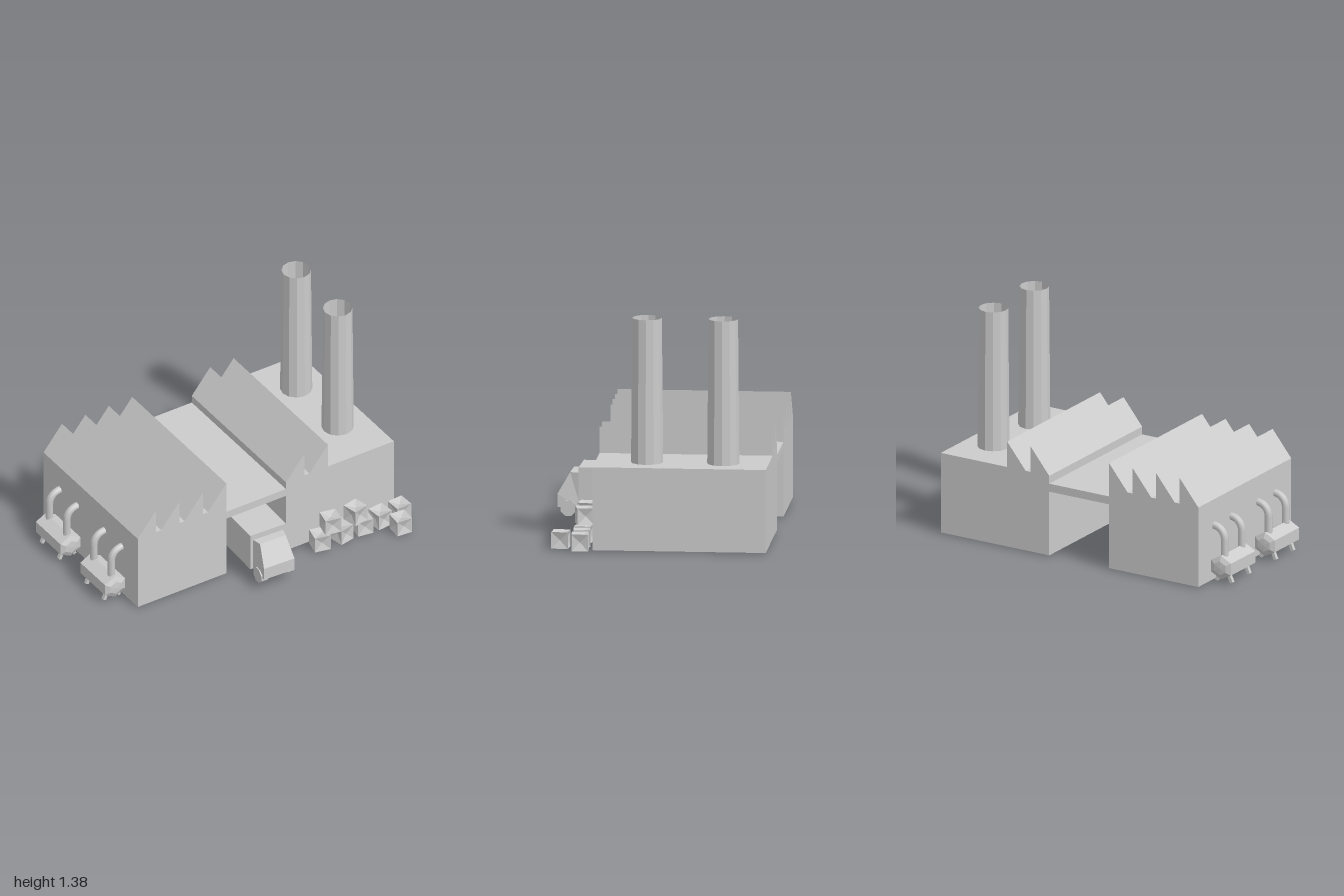
import * as THREE from 'three';
import { mergeGeometries } from 'three/addons/utils/BufferGeometryUtils.js';

const mat = new THREE.MeshStandardMaterial({ color: 0xcccccc, flatShading: true, side: THREE.DoubleSide });
const smooth = new THREE.MeshStandardMaterial({ color: 0xcccccc, side: THREE.DoubleSide });

const BACK = -0.66, FRONT = 0.37;

function add(parent, name, geometry, x = 0, y = 0, z = 0, material = mat) {
  const mesh = new THREE.Mesh(geometry, material);
  mesh.name = name;
  mesh.position.set(x, y, z);
  parent.add(mesh);
  return mesh;
}

function extrude(points, depth) {
  const shape = new THREE.Shape(points.map(([x, y]) => new THREE.Vector2(x, y)));
  return new THREE.ExtrudeGeometry(shape, { depth, bevelEnabled: false });
}

// Hall with a sawtooth roof, open underneath
function hall(x0, x1, teeth) {
  const pts = [[x0, 0], [x0, 0.5]];
  for (let i = 0; i < teeth; i++) {
    const start = x0 + i * 0.165;
    if (i > 0) pts.push([start, 0.5]);
    pts.push([start + 0.13, 0.66]);
    if (start + 0.13 < x1 - 0.01) pts.push([start + 0.13, 0.5]);
  }
  const last = pts[pts.length - 1];
  if (last[1] === 0.5) pts.push([x1, 0.5]);
  pts.push([x1, 0]);
  const geometry = extrude(pts, FRONT - BACK);
  // drop the floor triangles
  const src = geometry.attributes.position, kept = [];
  for (let i = 0; i < src.count; i += 3) {
    if (Math.max(src.getY(i), src.getY(i + 1), src.getY(i + 2)) < 0.001) continue;
    for (let k = i; k < i + 3; k++) kept.push(src.getX(k), src.getY(k), src.getZ(k));
  }
  const open = new THREE.BufferGeometry();
  open.setAttribute('position', new THREE.Float32BufferAttribute(kept, 3));
  open.computeVertexNormals();
  return open;
}

// Crate whose six faces dip towards their centres
function crateGeometry(size) {
  const faces = [];
  const turns = [[0, 0], [Math.PI, 0], [Math.PI / 2, 0], [-Math.PI / 2, 0], [0, Math.PI / 2], [0, -Math.PI / 2]];
  for (const [rx, rz] of turns) {
    const dip = 0.015;
    const face = new THREE.ConeGeometry(size / Math.SQRT2, dip, 4, 1, true);
    face.rotateY(Math.PI / 4).rotateX(Math.PI).translate(0, size / 2 - dip / 2, 0);
    faces.push(face.rotateX(rx).rotateZ(rz));
  }
  return mergeGeometries(faces);
}

function createTank() {
  const tank = new THREE.Group();
  tank.name = 'tank';
  // hexagonal body with slightly domed ends, point upwards
  const profile = [[0, -0.153], [0.045, -0.15], [0.078, -0.135], [0.078, 0.135], [0.045, 0.15], [0, 0.153]];
  const body = new THREE.LatheGeometry(profile.map(([r, y]) => new THREE.Vector2(r, y)), 6);
  add(tank, 'tankBody', body.rotateX(Math.PI / 2).scale(1.03, 0.95, 1), 0, 0.095, 0);
  for (const z of [-0.095, 0.095]) {
    // pipe bending into the wall
    const path = new THREE.CurvePath();
    const v = (x, y) => new THREE.Vector3(x, y, z);
    path.add(new THREE.LineCurve3(v(0, 0.13), v(0, 0.26)));
    path.add(new THREE.CubicBezierCurve3(v(0, 0.26), v(0, 0.305), v(0.03, 0.337), v(0.08, 0.337)));
    add(tank, 'pipe', new THREE.TubeGeometry(path, 14, 0.023, 8), 0, 0, 0, smooth);
    // splayed feet
    for (const s of [-1, 1]) {
      const foot = add(tank, 'foot', new THREE.BoxGeometry(0.02, 0.06, 0.022), s * 0.041, 0.026, z);
      foot.rotation.z = s * 0.4;
    }
  }
  return tank;
}

function createTruck() {
  const truck = new THREE.Group();
  truck.name = 'truck';
  add(truck, 'cargoBox', new THREE.BoxGeometry(0.245, 0.245, 0.54), 0, 0.2145, 0);
  // cab: side profile extruded across, windscreen top pinched inwards
  const width = 0.21;
  const cab = extrude([[0.26, 0.09], [0.4, 0.09], [0.4, 0.17], [0.325, 0.3], [0.26, 0.3]], width);
  cab.rotateY(-Math.PI / 2).translate(width / 2, 0, 0);
  const p = cab.attributes.position;
  for (let i = 0; i < p.count; i++) {
    if (p.getY(i) > 0.29 && p.getZ(i) > 0.3) p.setX(i, p.getX(i) * 0.84);
  }
  cab.computeVertexNormals();
  add(truck, 'cab', cab);
  // front wheels and full-width rear rollers
  const wheel = (len) => new THREE.CylinderGeometry(0.05, 0.05, len, 8).rotateZ(Math.PI / 2).rotateX(Math.PI / 8);
  for (const s of [-1, 1]) add(truck, 'frontWheel', wheel(0.045), s * 0.09, 0.087, 0.335);
  for (const z of [-0.2, -0.1]) add(truck, 'rearWheels', wheel(0.235), 0, 0.087, z);
  return truck;
}

export function createModel() {
  const model = new THREE.Group();
  model.name = 'factory';

  // Halls and the roof bridging the passage
  add(model, 'rightHall', hall(-0.855, -0.23, 4), 0, 0, BACK);
  add(model, 'leftHall', hall(0.19, 0.95, 2), 0, 0, BACK);
  add(model, 'bridgeRoof', new THREE.BoxGeometry(0.42, 0.05, FRONT - BACK), -0.02, 0.426, (FRONT + BACK) / 2);

  // Chimneys, open tubes running down to the ground
  for (const z of [-0.39, 0.063]) {
    add(model, 'chimney', new THREE.CylinderGeometry(0.088, 0.1, 1.37, 12, 1, true), 0.752, 0.685, z);
  }

  // Tanks along the side wall
  for (const z of [-0.388, 0.098]) {
    const tank = createTank();
    tank.position.set(-0.928, 0, z);
    model.add(tank);
  }

  // Truck leaving the passage
  const truck = createTruck();
  truck.position.set(-0.025, 0, 0.255);
  truck.rotation.y = -0.04;
  model.add(truck);

  // Crates: x, layer, z, turn
  const crate = crateGeometry(0.1);
  const crates = [
    [0.382, 0, 0.443, -0.22], [0.535, 0, 0.445, 0.2], [0.68, 0, 0.445, -0.15], [0.806, 0, 0.445, 0.1],
    [0.942, 0, 0.445, 0.05], [0.873, 0, 0.565, -0.08], [0.455, 1, 0.445, -0.2], [0.632, 1, 0.445, 0.22],
  ];
  for (const [x, layer, z, turn] of crates) {
    add(model, 'crate', crate, x, 0.05 + layer * 0.1, z).rotation.y = turn;
  }
  return model;
}
